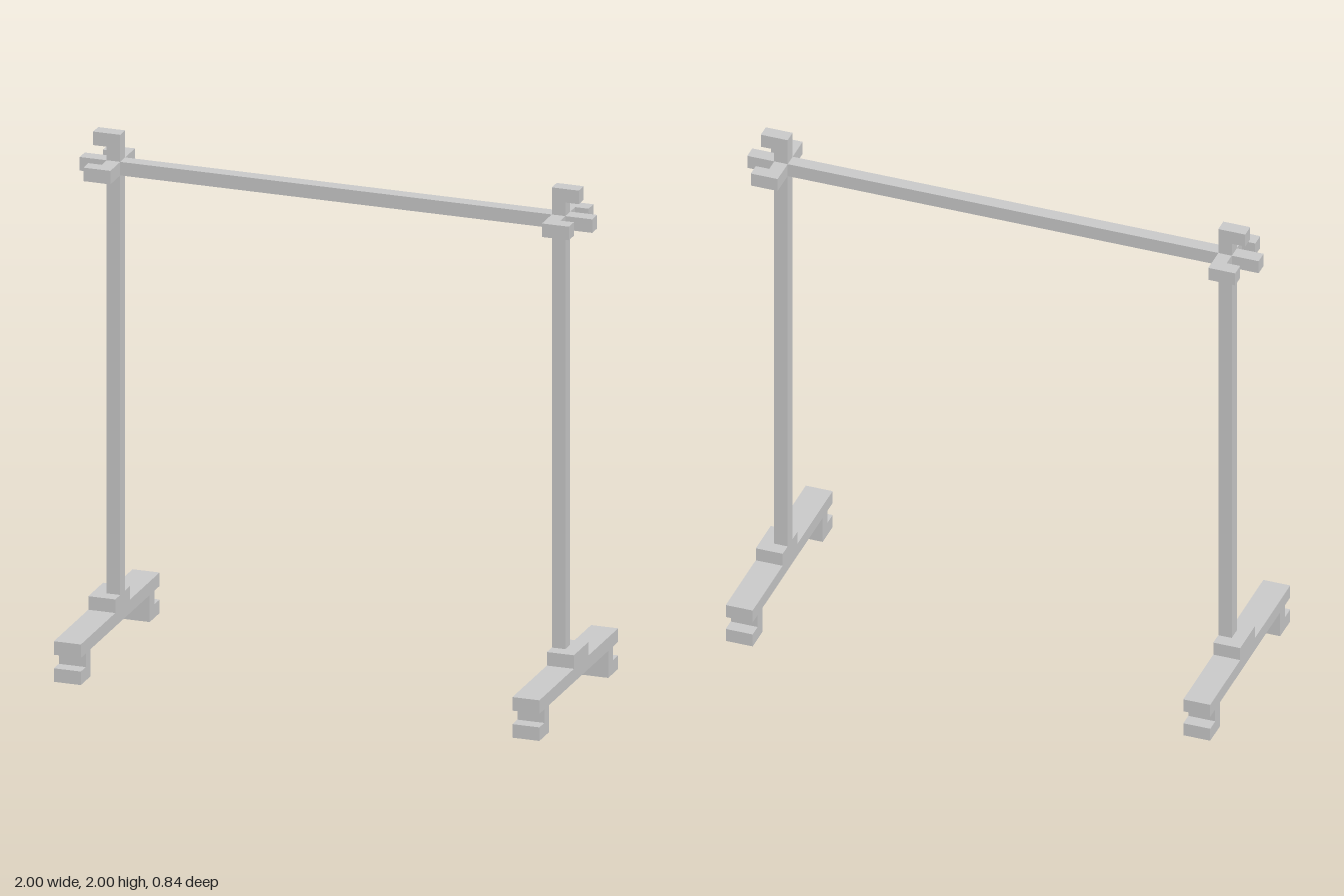
import * as THREE from 'three';

// All sizes are in whole blocks; 38 blocks span the longest side.
const U = 2 / 38;
const material = new THREE.MeshStandardMaterial({ color: 0xcccccc, flatShading: true });

function addPart(parent, name, geometry) {
  const mesh = new THREE.Mesh(geometry.scale(U, U, U), material);
  mesh.name = name;
  parent.add(mesh);
}

// Box given by its ranges on each axis
function box([x0, x1], [y0, y1], [z0, z1]) {
  return new THREE.BoxGeometry(x1 - x0, y1 - y0, z1 - z0)
    .translate((x0 + x1) / 2, (y0 + y1) / 2, (z0 + z1) / 2);
}

function extrude(points, depth) {
  const shape = new THREE.Shape(points.map(([a, b]) => new THREE.Vector2(a, b)));
  return new THREE.ExtrudeGeometry(shape, { depth, bevelEnabled: false });
}

function createStand(side) {
  const stand = new THREE.Group();
  stand.name = side > 0 ? 'leftStand' : 'rightStand';
  const range = (a, b) => (side > 0 ? [a, b] : [-b, -a]);

  // Foot: plank with a C-shaped hook at each end, outline in z and y
  const half = [[6, 2], [6, 0], [8, 0], [8, 1], [7, 1], [7, 2], [8, 2], [8, 3]];
  const outline = [...half, ...half.map(([z, y]) => [-z, y]).reverse()];
  addPart(stand, 'foot', extrude(outline, 2)
    .rotateY(-Math.PI / 2).translate(side > 0 ? 18 : -16, 0, 0));

  // Socket and upright post
  addPart(stand, 'postSocket', box(range(16, 18), [3, 4], [-2, 1]));
  addPart(stand, 'post', box(range(16, 17), [4, 35], [-1, 0]));

  // Hook above the rail, opening outwards
  const topHook = [[16, 36], [17, 36], [17, 37], [18, 37], [18, 38], [16, 38]];
  addPart(stand, 'topHook', extrude(topHook.map(([x, y]) => [side * x, y]), 1)
    .translate(0, 0, -1));

  // Horizontal hooks in front of and behind the rail, outline in x and z
  const arm = [[16, 0.5], [17, 0.5], [17, 1.5], [18, 1.5], [18, 2.5], [16, 2.5]];
  for (const dir of [1, -1]) {
    const points = arm.map(([x, z]) => [side * x, dir * z - 0.5]);
    addPart(stand, dir > 0 ? 'frontHook' : 'backHook',
      extrude(points, 1).rotateX(Math.PI / 2).translate(0, 36, 0));
  }
  return stand;
}

export function createModel() {
  const model = new THREE.Group();
  model.name = 'rack';
  addPart(model, 'rail', box([-19, 19], [35, 36], [-1, 0]));
  for (const side of [1, -1]) model.add(createStand(side));
  return model;
}
